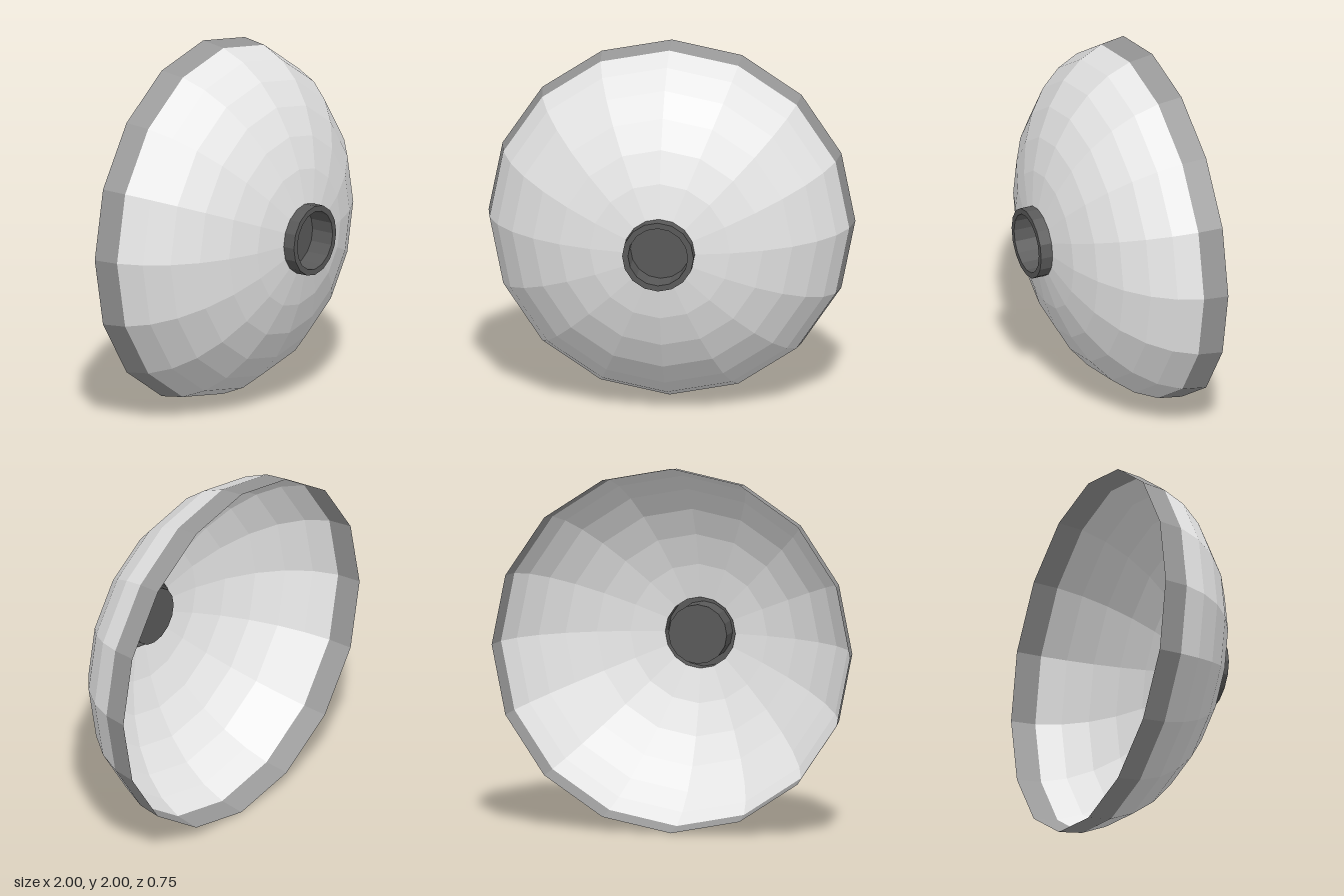
import * as THREE from 'three';

const SIDES = 16;

// Turns a [radius, z] profile around the z axis.
function turned(name, profile, material) {
  const geometry = new THREE.LatheGeometry(profile.map(([r, z]) => new THREE.Vector2(r, z)), SIDES);
  geometry.rotateX(Math.PI / 2);
  const mesh = new THREE.Mesh(geometry, material);
  mesh.name = name;
  return mesh;
}

function flat(name, color) {
  const material = new THREE.MeshStandardMaterial({ color, flatShading: true, side: THREE.DoubleSide });
  material.name = name;
  return material;
}

export function createModel() {
  const paleGrey = flat('pale grey', 0xe6e6e6);
  const midGrey = flat('mid grey', 0x999999);
  const darkGrey = flat('dark grey', 0x595959);

  const model = new THREE.Group();
  model.name = 'dish';

  // Thin flattened half-dome, open at the back and around the hub
  const dome = [];
  for (let i = 8; i >= 1; i--) {
    const t = (i / 8) * (Math.PI / 2);
    dome.push([Math.sin(t), -0.375 + 0.695 * Math.cos(t)]);
  }
  // The outermost ring is a darker rim band
  model.add(turned('rimBand', dome.slice(0, 2), midGrey));
  model.add(turned('bowl', dome.slice(1), paleGrey));

  // Short collar with a recessed cup that pokes through into the bowl
  model.add(turned('hubCollar', [[0.195, 0.297], [0.195, 0.375], [0.163, 0.375]], darkGrey));
  model.add(turned('hubCup', [[0.163, 0.375], [0.163, 0.24], [0, 0.24]], darkGrey));

  model.position.y = 1;
  const root = new THREE.Group();
  root.name = 'model';
  root.add(model);
  return root;
}
